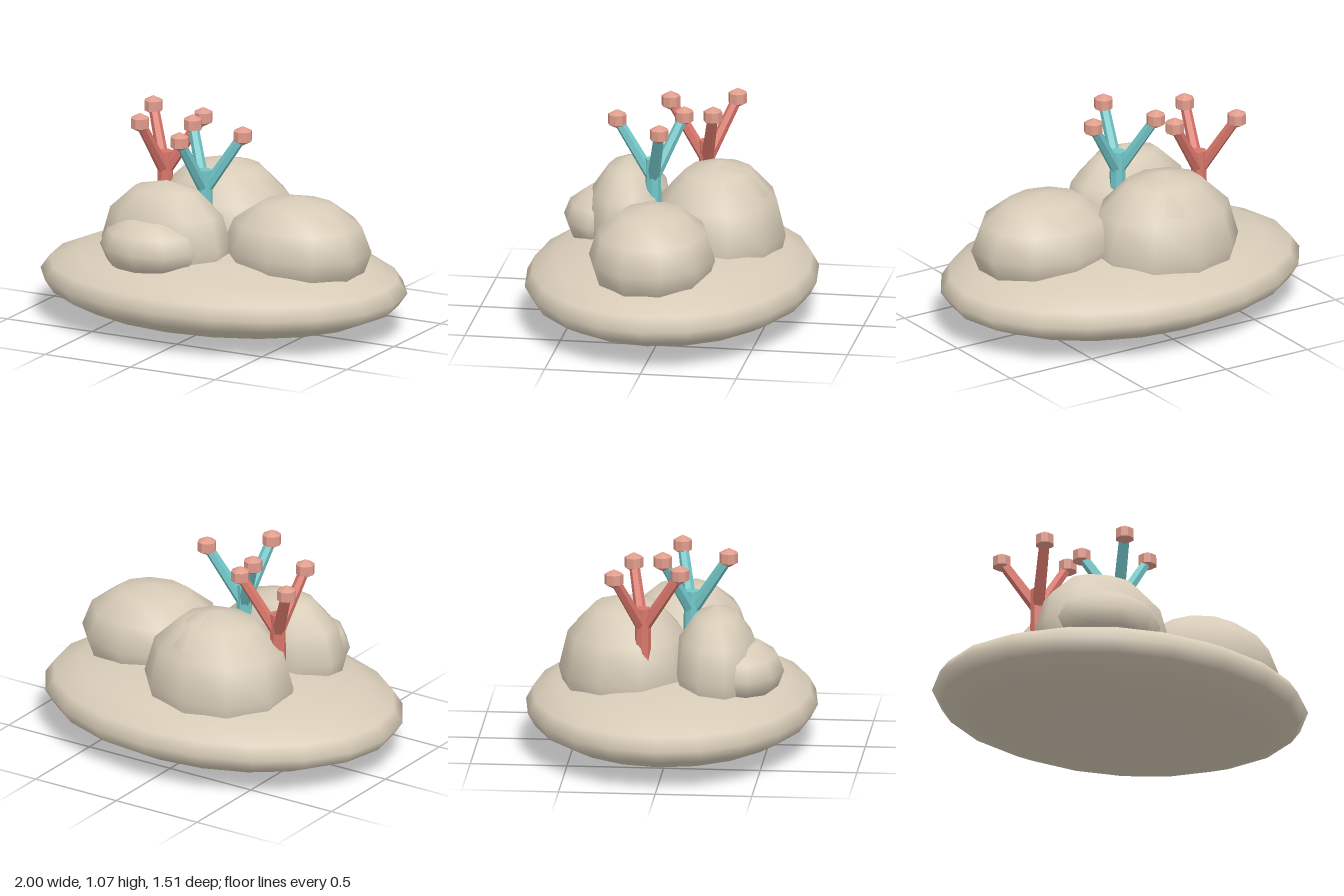
import * as THREE from 'three';

export function createModel() {
  const model = new THREE.Group();
  const mat = (name, color) => {
    const m = new THREE.MeshStandardMaterial({ color });
    m.name = name;
    return m;
  };
  const sand = mat('sandstone', 0xd8ccb8);
  const red = mat('coral red', 0xd8766a);
  const teal = mat('teal', 0x72c6c8);
  const pink = mat('tip pink', 0xe09c8c);

  const add = (parent, name, geometry, material) => {
    const mesh = new THREE.Mesh(geometry, material);
    mesh.name = name;
    parent.add(mesh);
    return mesh;
  };

  // Faceted copy of a geometry
  const faceted = (geometry) => {
    const g = geometry.toNonIndexed();
    g.computeVertexNormals();
    return g;
  };

  // Smooth stone: a sphere with a vertex at each z end, stretched to its radii
  const stone = (name, centre, radii, sides, rows) => {
    const g = new THREE.SphereGeometry(1, sides, rows);
    g.rotateY(Math.PI / 2);
    g.scale(...radii);
    add(model, name, g, sand).position.set(...centre);
  };

  // Flat mound and boulders
  stone('mound', [0, 0.22, 0], [1, 0.22, 0.755], 20, 10);
  stone('leftBoulder', [0.45, 0.46, 0.03], [0.4, 0.275, 0.33], 10, 6);
  stone('backBoulder', [-0.12, 0.43, -0.225], [0.41, 0.385, 0.35], 10, 6);
  stone('backBump', [-0.07, 0.53, -0.25], [0.22, 0.275, 0.27], 10, 6);
  stone('frontBoulder', [-0.2, 0.46, 0.25], [0.362, 0.33, 0.225], 10, 6);
  stone('frontBump', [-0.22, 0.46, 0.36], [0.285, 0.165, 0.24], 10, 6);

  // Branching coral: trunk, three slanted branches and round tips
  const up = new THREE.Vector3(0, 1, 0);
  const trunkGeo = faceted(new THREE.CylinderGeometry(0.04, 0.045, 0.45, 8));
  const tipGeo = faceted(new THREE.SphereGeometry(0.052, 8, 3).scale(1.08, 1, 1.08));
  const offsets = [[-0.145, -0.137], [0.19, -0.063], [-0.04, 0.195]];
  const coral = (name, x, z, material) => {
    const group = new THREE.Group();
    group.name = name;
    group.position.set(x, 0, z);
    add(group, 'trunk', trunkGeo, material).position.y = 0.605;
    const start = new THREE.Vector3(0, 0.72, 0);
    for (const [dx, dz] of offsets) {
      const end = new THREE.Vector3(dx, 1.022, dz);
      const dir = end.clone().sub(start);
      const g = faceted(new THREE.CylinderGeometry(0.027, 0.032, dir.length(), 6));
      const branch = add(group, 'branch', g, material);
      branch.position.copy(start).add(end).multiplyScalar(0.5);
      branch.quaternion.setFromUnitVectors(up, dir.normalize());
      add(group, 'branchTip', tipGeo, pink).position.copy(end);
    }
    model.add(group);
  };
  coral('redCoral', -0.41, -0.115, red);
  coral('tealCoral', -0.055, 0.107, teal);

  return model;
}
